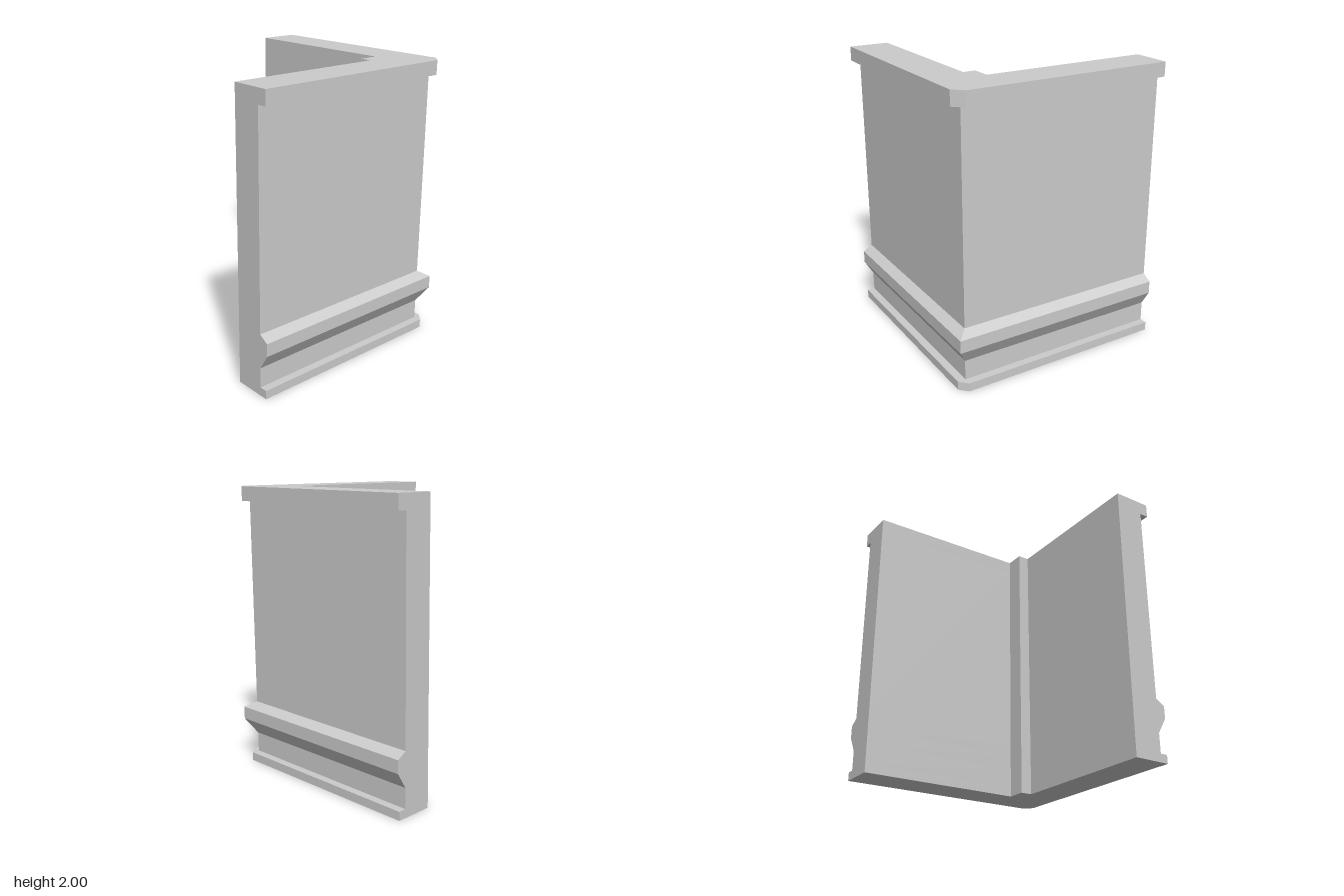
import * as THREE from 'three';

const END = 0.777;   // free ends of both wings
const WALL = 0.71;   // outer wall plane
const BASE = 0.765, TRIM = 0.777;

// L-shaped outline [x, z]; `out` is the outer plane, `corner` where its corner cut starts
function outline(out, corner) {
  return [
    [-END, -0.5], [0.41, -0.5], [0.41, -0.36], [0.495, -0.36], [0.495, END],
    [out, END], [out, -corner], [corner, -out], [-END, -out],
  ];
}

// Skin between successive levels [y, out, corner], with flat faces
function skin(levels) {
  const pos = [];
  const tri = (a, b, c) => {
    const area = new THREE.Triangle(a, b, c).getArea();
    if (area > 1e-7) for (const p of [a, b, c]) pos.push(p.x, p.y, p.z);
  };
  const rings = levels.map(([y, out, corner]) =>
    outline(out, corner).map(([x, z]) => new THREE.Vector3(x, y, z)));
  for (let i = 0; i < rings.length - 1; i++) {
    const lo = rings[i], hi = rings[i + 1];
    for (let j = 0; j < lo.length; j++) {
      const k = (j + 1) % lo.length;
      tri(lo[j], lo[k], hi[k]);
      tri(lo[j], hi[k], hi[j]);
    }
  }
  const geo = new THREE.BufferGeometry();
  geo.setAttribute('position', new THREE.Float32BufferAttribute(pos, 3));
  geo.computeVertexNormals();
  return geo;
}

// Flat end face, facing up (dir = 1) or down (dir = -1)
function endFace(y, out, dir) {
  const pts = outline(out, WALL).map(([x, z]) => new THREE.Vector2(x, -dir * z));
  return new THREE.ShapeGeometry(new THREE.Shape(pts))
    .rotateX(-dir * Math.PI / 2).translate(0, y, 0);
}

export function createModel() {
  const group = new THREE.Group();
  const material = new THREE.MeshStandardMaterial({ color: 0xcccccc, flatShading: true });
  const add = (name, geo) => {
    const mesh = new THREE.Mesh(geo, material);
    mesh.name = name;
    group.add(mesh);
  };

  // Base strip with a cut corner
  add('baseStrip', skin([[0, BASE, WALL], [0.06, BASE, WALL], [0.06, WALL, WALL]]));
  add('bottomFace', endFace(0, BASE, -1));
  // Lower wall and the mitred moulding above it
  add('lowerWall', skin([[0.06, WALL, WALL], [0.2, WALL, WALL]]));
  add('moulding', skin([
    [0.2, WALL, WALL], [0.31, TRIM, TRIM], [0.4, TRIM, TRIM], [0.44, WALL, WALL],
  ]));
  // Main wall
  add('wall', skin([[0.44, WALL, WALL], [1.9, WALL, WALL]]));
  // Top rail with a cut corner
  add('topRail', skin([[1.9, WALL, WALL], [1.9, TRIM, WALL], [2, TRIM, WALL]]));
  add('topFace', endFace(2, TRIM, 1));

  return group;
}
